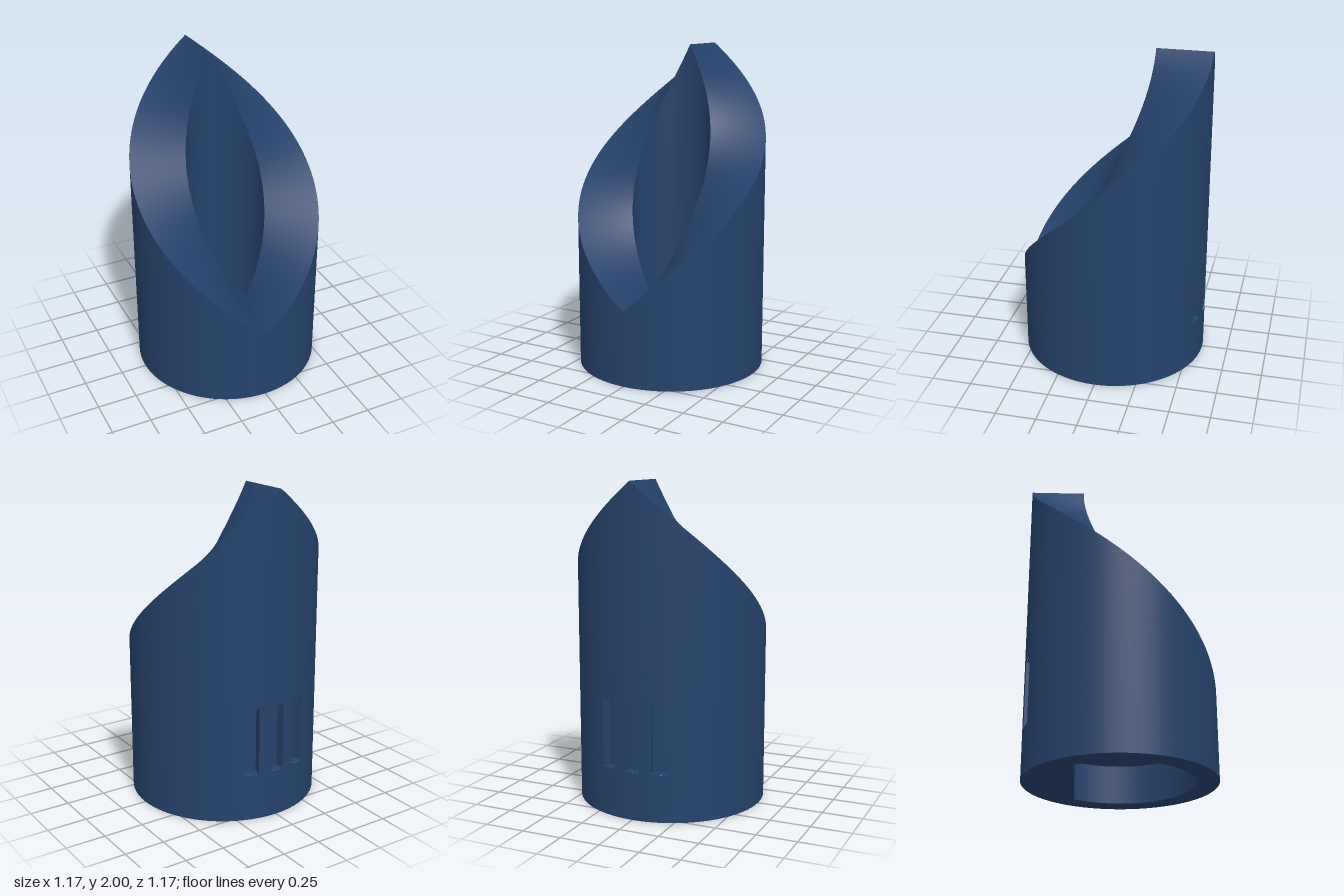
import * as THREE from 'three';
import { ParametricGeometry } from 'three/addons/geometries/ParametricGeometry.js';

const R = 0.585;          // outer radius
const BORE = 0.243;       // through hole
const SOCKET = 0.447;     // socket radius under the body
const FLAT = 0.27;        // distance of the socket's flat from the axis
const LEDGE = 0.24;       // socket depth
const SLOT_LOW = 0.295, SLOT_HIGH = 0.715, SLOT_DEPTH = 0.06;
const DEG = Math.PI / 180, TURN = 2 * Math.PI;

export function createModel() {
  const model = new THREE.Group();
  model.name = 'slantedTube';
  const navy = new THREE.MeshStandardMaterial({ color: 0x25426b });
  navy.name = 'navy';

  // Angle 0 is the front; the rim climbs evenly to the back on both sides
  const rim = t => 0.47 + 1.53 * (1 - Math.abs(t - Math.PI) / Math.PI);
  const socketRadius = t => Math.min(SOCKET, FLAT / Math.max(-Math.cos(t), 1e-6));

  // Ruled surface around the axis between two curves given as [radius, height]
  function ruled(name, from, to, lower, upper) {
    const steps = Math.max(2, Math.round((to - from) / (1.5 * DEG)));
    const geometry = new ParametricGeometry((u, v, target) => {
      const t = from + (to - from) * u;
      const a = lower(t), b = upper(t);
      const r = a[0] + (b[0] - a[0]) * v;
      target.set(r * Math.sin(t), a[1] + (b[1] - a[1]) * v, r * Math.cos(t));
    }, steps, 1);
    const mesh = new THREE.Mesh(geometry, navy);
    mesh.name = name;
    model.add(mesh);
  }
  const ring = (r, y) => () => [r, y];
  const rimAt = r => t => [r, rim(t)];

  // Outer wall: two plain sides and a back strip that is interrupted by slots
  const edge = 21 * DEG;
  ruled('outerWallLeft', 0, Math.PI - edge, ring(R, 0), rimAt(R));
  ruled('outerWallRight', Math.PI + edge, TURN, ring(R, 0), rimAt(R));
  ruled('backWallBelowSlots', Math.PI - edge, Math.PI + edge, ring(R, 0), ring(R, SLOT_LOW));
  for (const [a, b] of [[-edge, 0], [0, edge]]) {
    ruled('backWallAboveSlots', Math.PI + a, Math.PI + b, ring(R, SLOT_HIGH), rimAt(R));
  }
  for (const s of [-1, 1]) {
    const middle = Math.PI + s * 8.25 * DEG;
    ruled('slotDivider', middle - 3.75 * DEG, middle + 3.75 * DEG, ring(R, SLOT_LOW), ring(R, SLOT_HIGH));
  }

  // Spiral rim and bore, one half at a time so the ridge and valley stay sharp
  for (const [name, a, b] of [['Left', 0, Math.PI], ['Right', Math.PI, TURN]]) {
    ruled('rim' + name, a, b, rimAt(R), rimAt(BORE));
    ruled('bore' + name, a, b, rimAt(BORE), ring(BORE, LEDGE));
  }

  // Base ring, D-shaped socket and the ledge inside it
  const corner = Math.PI - Math.acos(FLAT / SOCKET);
  for (const [name, a, b] of [['Round', -corner, corner], ['Flat', corner, TURN - corner]]) {
    ruled('base' + name, a, b, t => [socketRadius(t), 0], ring(R, 0));
    ruled('socket' + name, a, b, t => [socketRadius(t), LEDGE], t => [socketRadius(t), 0]);
    ruled('ledge' + name, a, b, ring(BORE, LEDGE), t => [socketRadius(t), LEDGE]);
  }

  // Three recessed slots in the back
  const width = 2 * R * Math.sin(4.5 * DEG), height = SLOT_HIGH - SLOT_LOW;
  const front = R * Math.cos(4.5 * DEG), midZ = front - SLOT_DEPTH / 2;
  for (const k of [-1, 0, 1]) {
    const slot = new THREE.Group();
    slot.name = 'slot';
    slot.position.y = (SLOT_LOW + SLOT_HIGH) / 2;
    slot.rotation.y = Math.PI + k * 16.5 * DEG;
    const panel = (name, w, h, position, rx, ry) => {
      const mesh = new THREE.Mesh(new THREE.PlaneGeometry(w, h), navy);
      mesh.name = name;
      mesh.position.set(...position);
      mesh.rotation.set(rx, ry, 0);
      slot.add(mesh);
    };
    panel('slotBack', width, height, [0, 0, front - SLOT_DEPTH], 0, 0);
    for (const s of [-1, 1]) {
      panel('slotSide', SLOT_DEPTH, height, [s * width / 2, 0, midZ], 0, -s * Math.PI / 2);
      panel('slotEnd', width, SLOT_DEPTH, [0, s * height / 2, midZ], s * Math.PI / 2, 0);
    }
    model.add(slot);
  }
  return model;
}
